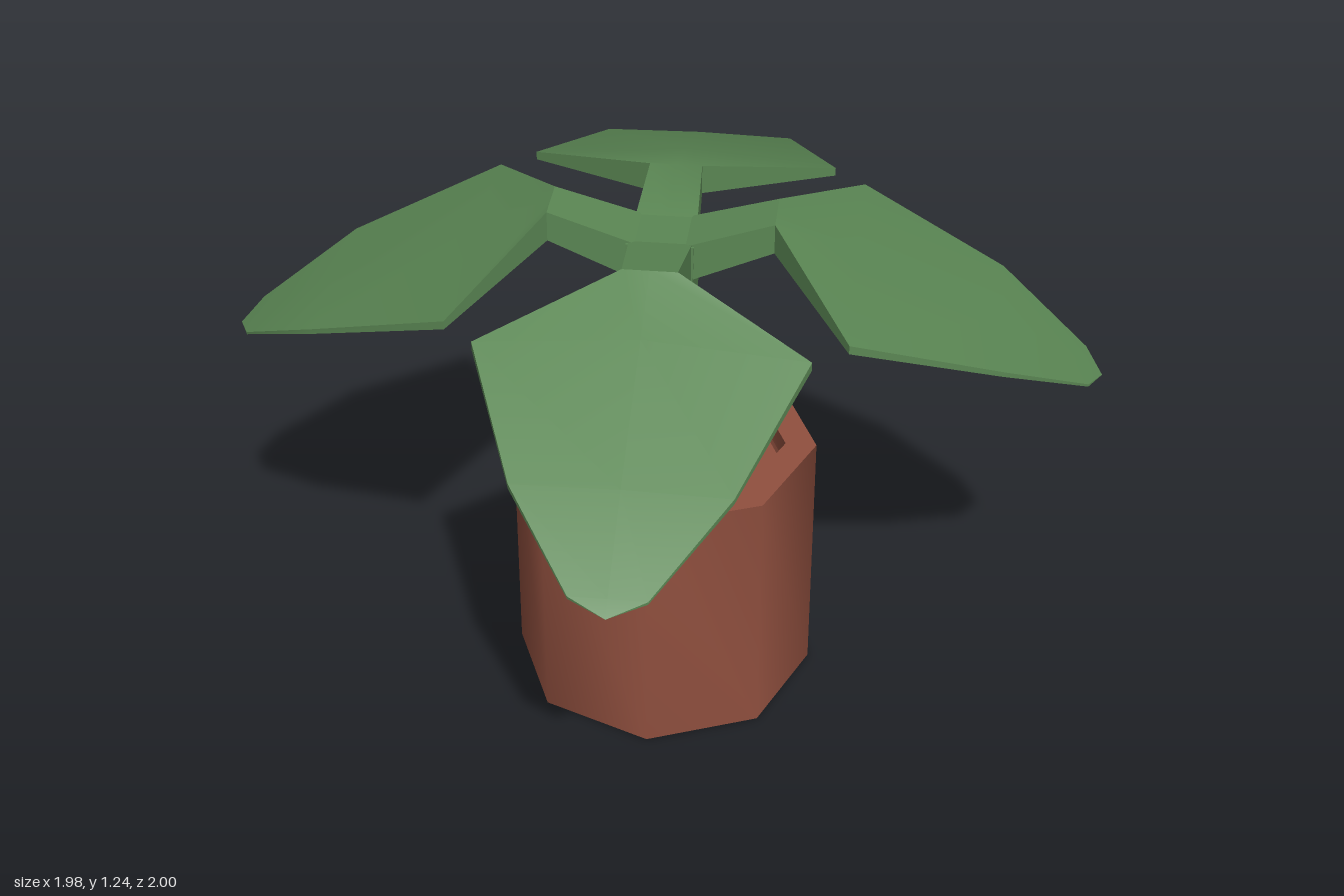
import * as THREE from 'three';
import { toCreasedNormals } from 'three/addons/utils/BufferGeometryUtils.js';

const CENTRE_Z = 0.018; // the pot and stem sit slightly forward

// Closed six-point cross-sections joined from the stem out to the leaf tip
function sectionStrip(rows, angle) {
  const c = Math.round(Math.cos(angle)), s = Math.round(Math.sin(angle));
  const rings = rows.map(([d, w, edgeY, midY, thick, shift]) =>
    [
      [-w, edgeY], [0, midY], [w, edgeY],
      [w, edgeY - thick], [0, midY - thick], [-w, edgeY - thick],
    ].map(([side, y]) => [d * c - side * s, y, d * s + side * c + shift]));
  const pos = [];
  for (let i = 0; i < rings.length - 1; i++) {
    for (let j = 0; j < 6; j++) {
      const k = (j + 1) % 6;
      const a = rings[i][j], b = rings[i][k], e = rings[i + 1][j], f = rings[i + 1][k];
      pos.push(...a, ...b, ...e, ...b, ...f, ...e);
    }
  }
  const geo = new THREE.BufferGeometry();
  geo.setAttribute('position', new THREE.Float32BufferAttribute(pos, 3));
  return toCreasedNormals(geo, 0.6);
}

export function createModel() {
  const terracotta = new THREE.MeshStandardMaterial({ name: 'terracotta', color: 0x91503f });
  const leafGreen = new THREE.MeshStandardMaterial({ name: 'leafGreen', color: 0x5b8754 });
  const model = new THREE.Group();
  model.name = 'pottedPlant';

  const add = (name, geo, mat) => {
    const mesh = new THREE.Mesh(geo, mat);
    mesh.name = name;
    model.add(mesh);
    return mesh;
  };

  // Eight-sided pot with a thick rim and a recessed floor
  const profile = [
    [0, 0], [0.357, 0], [0.357, 0.627], [0.285, 0.627],
    [0.285, 0.575], [0.33, 0.575], [0.33, 0.47], [0, 0.47],
  ].map(([x, y]) => new THREE.Vector2(x, y));
  const pot = add('pot', toCreasedNormals(new THREE.LatheGeometry(profile, 8), 0.9), terracotta);
  pot.position.z = CENTRE_Z - 0.004;

  // Square stem, widening upwards
  const stemGeo = new THREE.BoxGeometry(1, 0.71, 1);
  const p = stemGeo.attributes.position;
  for (let i = 0; i < p.count; i++) {
    const width = p.getY(i) > 0 ? 0.15 : 0.115;
    p.setX(i, p.getX(i) * width);
    p.setZ(i, p.getZ(i) * width);
  }
  stemGeo.computeVertexNormals();
  add('stem', stemGeo, leafGreen).position.set(0, 0.47 + 0.355, CENTRE_Z + 0.002);

  // Four branches, each opening into a drooping leaf
  const leaves = [
    ['leftLeaf', 0, 1.24, 0.86, 0.99],
    ['frontLeaf', Math.PI / 2, 1.22, 0.86, 1],
    ['rightLeaf', Math.PI, 1.24, 0.86, 0.99],
    ['backLeaf', -Math.PI / 2, 1.21, 0.885, 1],
  ];
  for (const [name, angle, base, tip, reach] of leaves) {
    const rows = [
      // distance, half width, edge height, middle height, thickness, z shift
      [0.05, 0.07, 1.178, 1.178, 0.09, 0.02],
      [0.25, 0.06, base, base, 0.07, 0.02],
      [0.43, 0.357, 1.12, 1.15, 0.02, 0.004],
      [0.76, 0.228, tip + 0.135, tip + 0.14, 0.012, 0],
      [reach - 0.035, 0.08, tip + 0.023, tip + 0.024, 0.006, 0],
      [reach, 0, tip, tip, 0, 0],
    ];
    add(name, sectionStrip(rows, angle), leafGreen);
  }
  return model;
}
